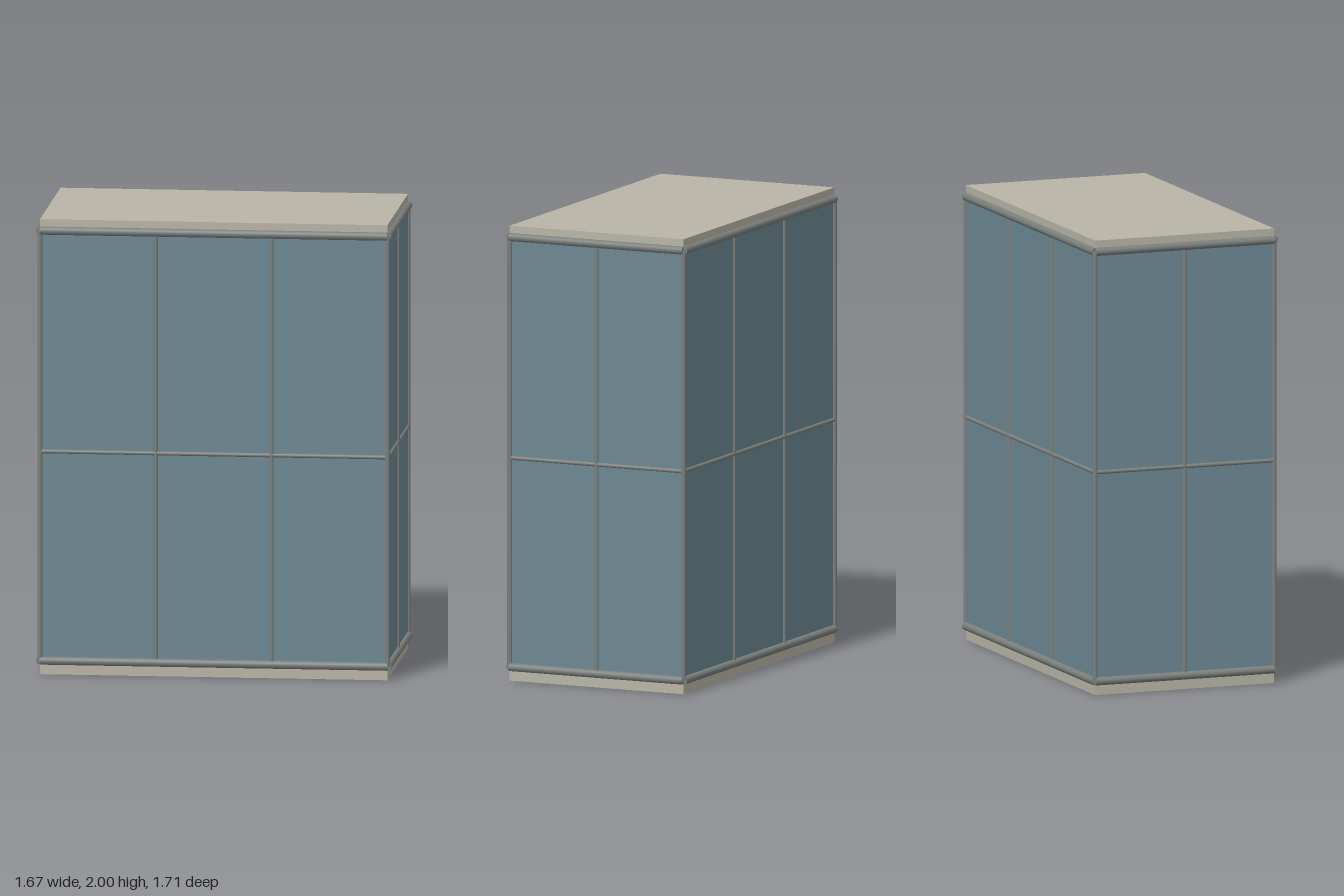
import * as THREE from 'three';

const L = 1.515, W = 0.835; // plan size of the block
const LOW = 0.06, MID = 0.98, HIGH = 1.95; // rail heights

export function createModel() {
  const model = new THREE.Group();
  model.name = 'glazedBlock';
  const concrete = new THREE.MeshStandardMaterial({ color: 0xb8b4a6 });
  const glass = new THREE.MeshStandardMaterial({ color: 0x6d8892 });
  const metal = new THREE.MeshStandardMaterial({ color: 0x7b807d });

  const block = (name, y0, y1, material) => {
    const mesh = new THREE.Mesh(new THREE.BoxGeometry(L, y1 - y0, W), material);
    mesh.position.y = (y0 + y1) / 2;
    mesh.name = name;
    model.add(mesh);
  };

  // Round bar between two points
  const bar = (name, a, b, radius) => {
    const dir = b.clone().sub(a);
    const mesh = new THREE.Mesh(new THREE.CylinderGeometry(radius, radius, dir.length(), 12), metal);
    mesh.position.copy(a).lerp(b, 0.5);
    mesh.quaternion.setFromUnitVectors(new THREE.Vector3(0, 1, 0), dir.normalize());
    mesh.name = name;
    model.add(mesh);
  };

  // Floor slab, glazing and roof slab
  block('floorSlab', 0, LOW, concrete);
  block('glazing', LOW, HIGH, glass);
  block('roofSlab', HIGH, 2, concrete);

  // Each wall: rails, its starting corner post and evenly spaced mullions
  const corners = [[-1, 1], [1, 1], [1, -1], [-1, -1]]
    .map(([x, z]) => [x * L / 2, z * W / 2]);
  corners.forEach((start, i) => {
    const end = corners[(i + 1) % 4];
    const at = (t, y) => new THREE.Vector3(
      THREE.MathUtils.lerp(start[0], end[0], t), y,
      THREE.MathUtils.lerp(start[1], end[1], t));

    bar('bottomRail', at(0, LOW), at(1, LOW), 0.018);
    bar('middleRail', at(0, MID), at(1, MID), 0.009);
    bar('topRail', at(0, HIGH), at(1, HIGH), 0.018);
    bar('cornerPost', at(0, LOW), at(0, HIGH), 0.011);

    const bays = i % 2 ? 2 : 3;
    for (let k = 1; k < bays; k++) {
      bar('mullion', at(k / bays, LOW), at(k / bays, HIGH), 0.009);
    }
  });

  model.rotation.y = Math.atan2(1.115, 1.025);
  const root = new THREE.Group();
  root.name = 'building';
  root.add(model);
  return root;
}
